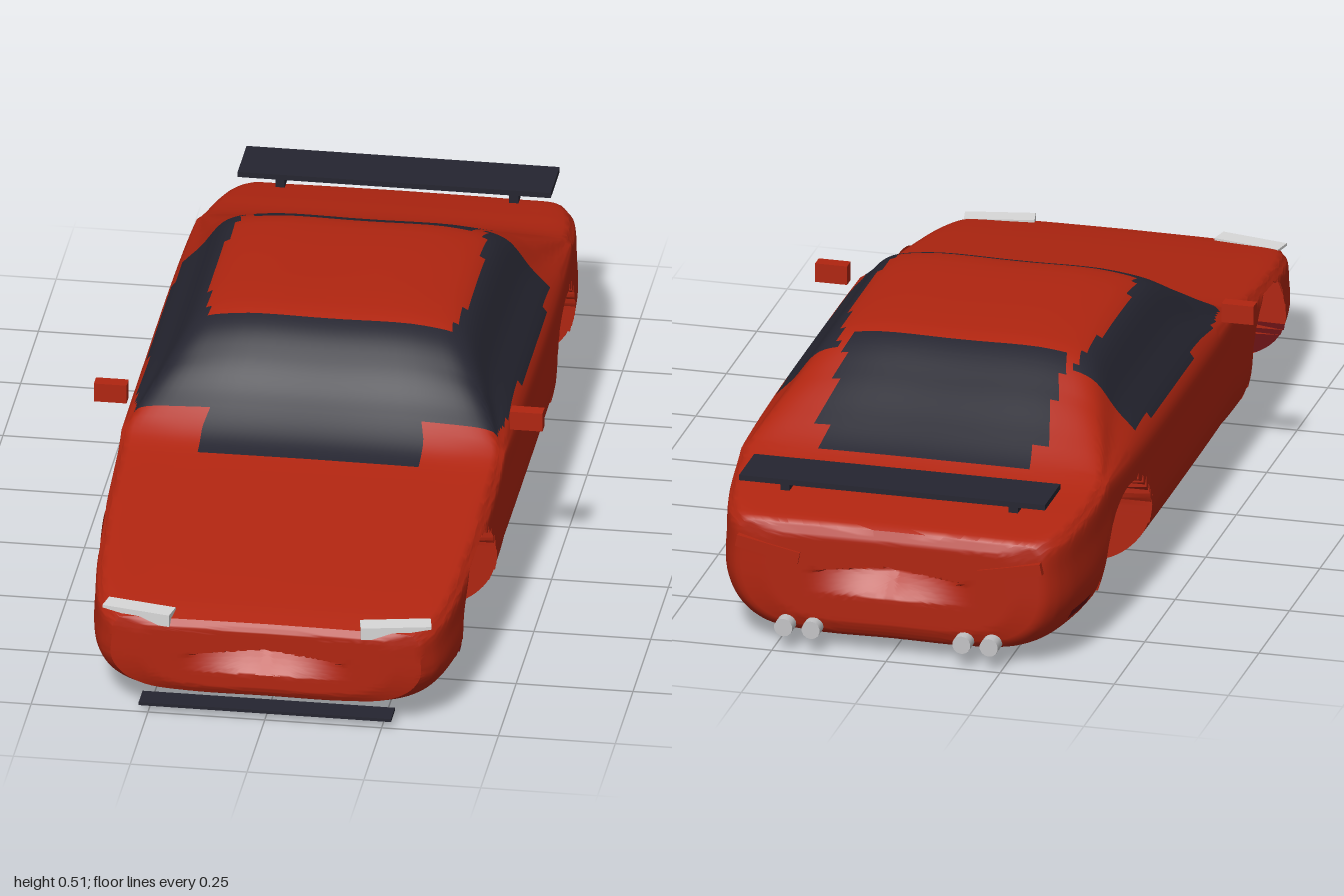
import * as THREE from 'three';
import { toCreasedNormals } from 'three/addons/utils/BufferGeometryUtils.js';

const mat = (name, color) => {
  const m = new THREE.MeshStandardMaterial({ color });
  m.name = name;
  return m;
};

// Smooth curve through [z, value] pairs, sorted by rising z
function profile(pts) {
  const slope = (i) => {
    const a = pts[Math.max(i - 1, 0)], b = pts[Math.min(i + 1, pts.length - 1)];
    return (b[1] - a[1]) / (b[0] - a[0]);
  };
  return (z) => {
    let i = 0;
    while (i < pts.length - 2 && z > pts[i + 1][0]) i++;
    const [z0, y0] = pts[i], [z1, y1] = pts[i + 1], h = z1 - z0;
    const t = THREE.MathUtils.clamp((z - z0) / h, 0, 1), u = 1 - t;
    return y0 * (1 + 2 * t) * u * u + slope(i) * h * t * u * u
      + y1 * t * t * (3 - 2 * t) - slope(i + 1) * h * t * t * u;
  };
}

const roofY = profile([[-0.965, 0.28], [-0.95, 0.287], [-0.85, 0.305], [-0.75, 0.322], [-0.68, 0.345], [-0.6, 0.385],
  [-0.5, 0.44], [-0.4, 0.49], [-0.33, 0.503], [-0.12, 0.507], [0.04, 0.501], [0.11, 0.483], [0.18, 0.44], [0.26, 0.38],
  [0.34, 0.33], [0.4, 0.312], [0.6, 0.282], [0.8, 0.252], [0.93, 0.23], [0.985, 0.217]]);
const floorY = profile([[-0.965, 0.045], [-0.94, 0.028], [-0.85, 0.014], [-0.6, 0.006], [0, 0], [0.5, 0.006],
  [0.8, 0.016], [0.93, 0.03], [0.985, 0.048]]);
const halfWidth = profile([[-0.965, 0.335], [-0.94, 0.357], [-0.88, 0.38], [-0.75, 0.4], [-0.5, 0.411], [0, 0.413],
  [0.5, 0.41], [0.75, 0.397], [0.88, 0.38], [0.95, 0.358], [0.985, 0.33]]);

const WELLS = [0.625, -0.542], WELL_R = 0.185, WELL_Y = 0.08, WELL_X = 0.27;
const SUB = 6;

// One closed cross-section of the body, with the wheel arch cut into it
function section(z) {
  const w = halfWidth(z), yb = floorY(z), yt = roofY(z);
  const k = THREE.MathUtils.clamp((yt - 0.32) / 0.12, 0, 1);
  const s = Math.min(yt - 0.022, 0.322), h = s - yb;
  const r = w - 0.018 - Math.max(0, yt - 0.34) * 0.7;
  const edge = yt - 0.006 - 0.018 * k;
  const ctrl = [[0, yb], [0.5 * w, yb], [0.78 * w, yb + 0.06 * h], [0.93 * w, yb + 0.22 * h], [w, yb + 0.45 * h],
    [w, yb + 0.78 * h], [w - 0.004, s], [(w + r) / 2 - 0.002, (s + edge) / 2], [r, edge], [0.7 * r, yt - 0.002], [0, yt]];
  const curve = new THREE.CatmullRomCurve3(ctrl.map(([x, y]) => new THREE.Vector3(x, y, z)));
  const half = curve.getPoints((ctrl.length - 1) * SUB);
  for (const cz of WELLS) {
    const dz = z - cz;
    if (Math.abs(dz) >= WELL_R) continue;
    const arch = WELL_Y + Math.sqrt(WELL_R ** 2 - dz ** 2);
    let top = -1;
    half.forEach((p, j) => {
      if (p.x > WELL_X && p.y < arch && p.y < s) { p.x = WELL_X; top = j; }
    });
    if (top >= 0) {
      half[top].y = arch;
      half[top + 1].y = arch;
    }
  }
  const mirrored = half.slice(1, -1).reverse().map((p) => new THREE.Vector3(-p.x, p.y, z));
  return half.concat(mirrored);
}

// Rings that close an end of the body, with a wedge-shaped recess
function endCap(z, dir, lo, hi) {
  const base = section(z), mid = (floorY(z) + roofY(z)) / 2, rings = [];
  for (let i = 1; i <= 26; i++) {
    const t = Math.max(1 - i / 26, 0.0005);
    rings.push(base.map((p) => {
      const x = p.x * t, y = mid + (p.y - mid) * t, a = Math.abs(x) / 0.18;
      let dent = 0;
      if (a < 1 && y < hi - 0.025 * a) dent = 0.05 * (1 - a) * THREE.MathUtils.clamp((y - lo) / 0.05, 0, 1);
      return new THREE.Vector3(x, y, z + dir * (0.01 * Math.min(1, (1 - t) * 5) - dent));
    }));
  }
  return rings;
}

// Paint zones: 0 body, 1 glass, 2 dark red trim
function zone(x, y, z) {
  const ax = Math.abs(x);
  if (y > 0.342 && z > 0.08 && z < 0.28) return 1;
  if (y > 0.25 && z >= 0.28 && z < 0.39 && ax < 0.235) return 1;
  if (y > 0.342 && y < 0.485 && ax > 0.26 && z > -0.43 && z < 0.1) return 1;
  if (y > 0.3 && z > -0.69 && z < -0.385 && ax < 0.24) return 1;
  if (ax < 0.3) return 0;
  if (y > 0.052 && y < 0.077 && z > -0.26 && z < 0.33) return 2;
  if (y > 0.035 && y < 0.112 && z > 0.74 && z < 0.82) return 2;
  if (y > 0.078 && y < 0.104 && z > -0.87 && z < -0.77) return 2;
  return 0;
}

function bodyGeometry() {
  const Z0 = -0.965, Z1 = 0.985, zs = [0.08, 0.28, 0.39, -0.43, -0.385, -0.69];
  for (let i = 0; i <= 160; i++) {
    const z = Z0 + ((Z1 - Z0) * i) / 160;
    if (WELLS.every((c) => Math.abs(z - c) > WELL_R + 0.002)) zs.push(z);
  }
  for (const c of WELLS) {
    for (let i = 0; i <= 40; i++) zs.push(c + WELL_R * 0.9999 * Math.cos((Math.PI * i) / 40));
    zs.push(c + WELL_R * 1.001, c - WELL_R * 1.001);
  }
  zs.sort((a, b) => a - b);
  const rings = [...endCap(Z0, -1, 0.13, 0.2).reverse(), ...zs.map(section), ...endCap(Z1, 1, 0.1, 0.16)];
  const n = rings[0].length, pts = rings.flat(), lists = [[], [], []];
  for (let i = 0; i < rings.length - 1; i++) {
    for (let j = 0; j < n; j++) {
      const a = i * n + j, b = i * n + ((j + 1) % n), d = a + n, c = b + n;
      const m = pts[a].clone().add(pts[b]).add(pts[c]).add(pts[d]).multiplyScalar(0.25);
      lists[zone(m.x, m.y, m.z)].push(a, b, d, b, c, d);
    }
  }
  const g = new THREE.BufferGeometry().setFromPoints(pts);
  g.setIndex(lists.flat());
  let start = 0;
  lists.forEach((l, i) => { g.addGroup(start, l.length, i); start += l.length; });
  return toCreasedNormals(g, 0.7);
}

export function createModel() {
  const car = new THREE.Group();
  car.name = 'sportsCar';
  const red = mat('bodyRed', 0xb02510), dark = mat('darkGlass', 0x252530);
  const trim = mat('darkRedTrim', 0x6a0f12), light = mat('lampWhite', 0xd8d8d8), steel = mat('exhaustSteel', 0xc4c4c6);
  const add = (name, geo, material, x, y, z) => {
    const m = new THREE.Mesh(geo, material);
    m.name = name;
    m.position.set(x, y, z);
    car.add(m);
    return m;
  };
  const box = (name, size, material, ...pos) => add(name, new THREE.BoxGeometry(...size), material, ...pos);

  add('body', bodyGeometry(), [red, dark, trim], 0, 0, 0);
  box('frontLip', [0.54, 0.007, 0.055], dark, 0, 0.016, 0.972);
  box('rearWing', [0.67, 0.012, 0.125], dark, 0, 0.363, -0.887);

  for (const s of [-1, 1]) {
    box('wingSupport', [0.02, 0.045, 0.03], dark, s * 0.25, 0.343, -0.877);
    box('doorMirror', [0.07, 0.042, 0.03], red, s * 0.445, 0.365, 0.232);
    box('tailLight', [0.14, 0.026, 0.02], red, s * 0.265, 0.218, -0.97).rotation.z = s * 0.2;

    // Wedge headlight, thin at its outer end
    const shape = new THREE.Shape([[0, 0.2], [0.045, 0.2], [0.09, 0.212], [0.15, 0.221], [0.15, 0.227], [0, 0.227]]
      .map(([x, y]) => new THREE.Vector2(s * x, y)));
    const lamp = new THREE.ExtrudeGeometry(shape, { depth: 0.042, bevelEnabled: false });
    add('headlight', lamp, light, s * 0.197, 0.001, 0.957).rotation.y = s * 0.2;

    // Twin exhaust pipes
    for (const x of [0.165, 0.225]) {
      const pipe = new THREE.CylinderGeometry(0.02, 0.02, 0.065, 14).rotateX(Math.PI / 2);
      add('exhaustPipe', pipe, steel, s * x, 0.052, -0.9675);
    }
  }
  return car;
}
